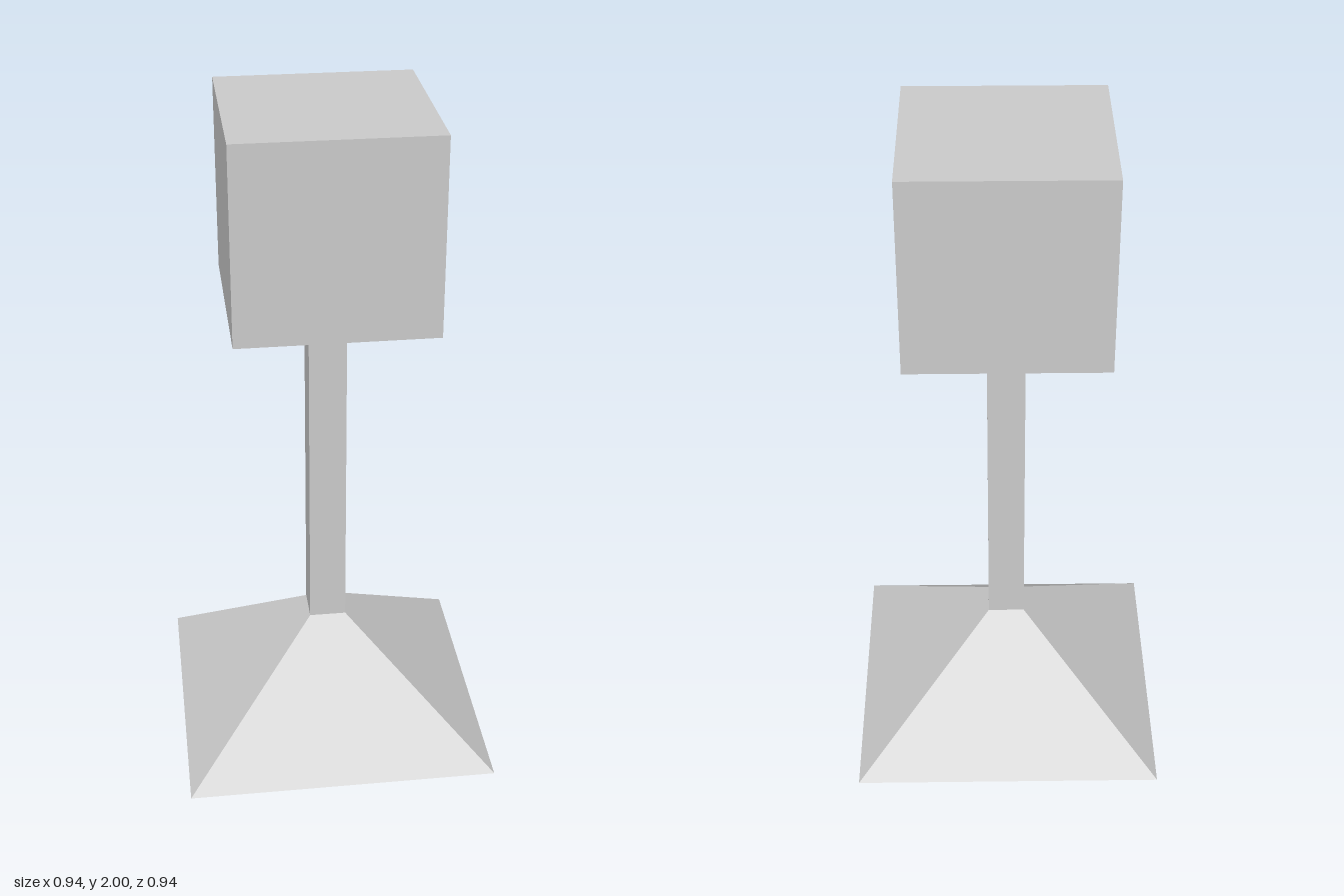
import * as THREE from 'three';

const material = new THREE.MeshStandardMaterial({
  color: 0xcccccc, flatShading: true, side: THREE.DoubleSide,
});

// Open-ended square tube, from half width `bottom` at y0 to half width `top` at y1
function squareTube(name, bottom, top, y0, y1) {
  const geometry = new THREE.CylinderGeometry(
    top * Math.SQRT2, bottom * Math.SQRT2, y1 - y0, 4, 1, true);
  geometry.rotateY(Math.PI / 4);
  const mesh = new THREE.Mesh(geometry, material);
  mesh.name = name;
  mesh.position.y = (y0 + y1) / 2;
  return mesh;
}

export function createModel() {
  const group = new THREE.Group();
  group.name = 'cubeOnStand';

  const baseTop = 0.35, cubeBottom = 1.42, cubeSize = 0.58;
  const poleHalf = 0.056, baseHalf = 0.468;

  // Hollow pyramid foot, open underneath, and the hollow pole rising from it
  group.add(squareTube('base', baseHalf, poleHalf, 0, baseTop));
  group.add(squareTube('pole', poleHalf, poleHalf, baseTop, cubeBottom));

  // Cube head
  const head = new THREE.Mesh(new THREE.BoxGeometry(cubeSize, cubeSize, cubeSize), material);
  head.name = 'head';
  head.position.y = cubeBottom + cubeSize / 2;
  group.add(head);

  return group;
}
